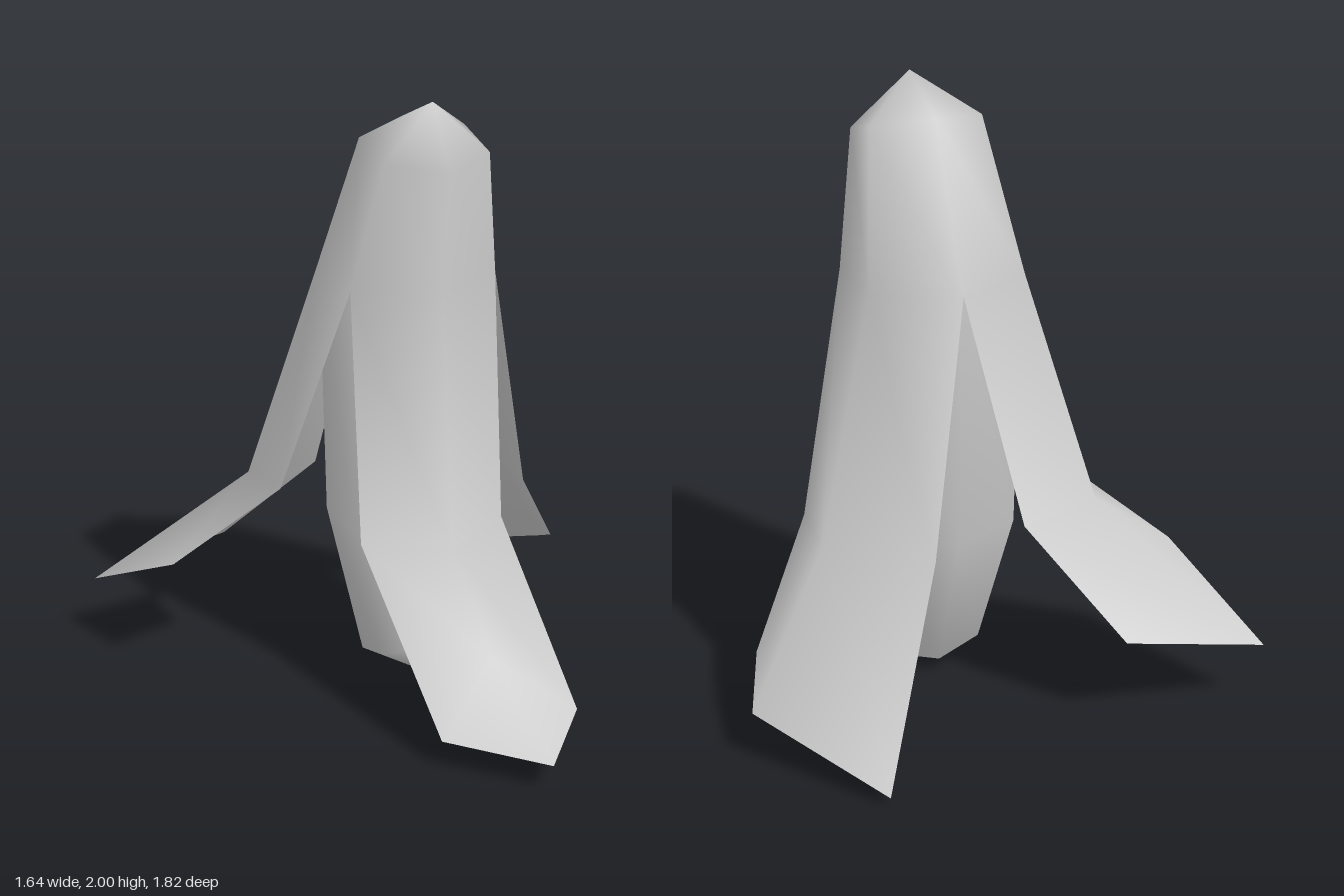
import * as THREE from 'three';

const material = new THREE.MeshStandardMaterial({ color: 0xcccccc, side: THREE.DoubleSide });
const CX = 0.08;

// Tilted six-sided ring; corner 0 faces the front, then counter-clockwise from above
function ring(y, tilt, z, rx, rz) {
  return Array.from({ length: 6 }, (_, i) => {
    const a = (i * Math.PI) / 3;
    return [CX + rx * Math.sin(a), y + tilt * Math.cos(a), z + rz * Math.cos(a)];
  });
}

// Collects shared points and faces into one smooth surface
function surface() {
  const points = [], faces = [];
  const add = (list) => list.map((p) => points.push(...p) / 3 - 1);
  // Strip between an upper and a lower row of point indices
  const strip = (u, l, closed = false) => {
    const n = closed ? u.length : u.length - 1;
    for (let i = 0; i < n; i++) {
      const j = (i + 1) % u.length;
      faces.push(u[i], l[i], l[j], u[i], l[j], u[j]);
    }
  };
  // Fan from a row to a single point above or below it
  const fan = (row, tip, above, closed = false) => {
    const n = closed ? row.length : row.length - 1;
    for (let i = 0; i < n; i++) {
      const j = (i + 1) % row.length;
      if (above) faces.push(tip, row[i], row[j]);
      else faces.push(row[i], tip, row[j]);
    }
  };
  const mesh = (name) => {
    const g = new THREE.BufferGeometry();
    g.setAttribute('position', new THREE.Float32BufferAttribute(points, 3));
    g.setIndex(faces);
    g.computeVertexNormals();
    const m = new THREE.Mesh(g, material);
    m.name = name;
    return m;
  };
  return { add, strip, fan, mesh };
}

// Three peeled flaps: ring corners they hang from, fold row, end row, optional point
const flaps = [
  { // front
    corners: [5, 0, 1],
    fold: [[-0.18, 0.55, 0.07], [CX, 0.55, 0.23], [0.34, 0.55, 0.07]],
    end: [[-0.16, 0.09, 0.62], [CX, 0.28, 0.49], [0.33, 0.09, 0.62]],
    tip: [CX, 0.09, 0.91],
  },
  { // left
    corners: [1, 2, 3],
    fold: [[0.5, 0.6, -0.07], [0.52, 0.6, -0.31], [0.19, 0.54, -0.44]],
    end: [[0.74, 0.26, -0.29], [0.82, 0.16, -0.49], [0.52, 0.03, -0.91]],
  },
  { // right
    corners: [3, 4, 5],
    fold: [[-0.1, 0.63, -0.47], [-0.37, 0.66, -0.42], [-0.36, 0.69, -0.17]],
    end: [[-0.34, 0.3, -0.74], [-0.82, 0.21, -0.76], [-0.69, 0.42, -0.32]],
  },
];

// Unpeeled upper skin with the hanging flaps
function makePeel() {
  const s = surface();
  const [top] = s.add([[CX, 2, 0.06]]);
  const shoulder = s.add(ring(1.85, -0.05, 0.005, 0.215, 0.175));
  const waist = s.add(ring(1.4, 0, -0.13, 0.3, 0.265));
  s.fan(shoulder, top, true, true);
  s.strip(shoulder, waist, true);
  for (const f of flaps) {
    const fold = s.add(f.fold), end = s.add(f.end);
    s.strip(f.corners.map((c) => waist[c]), fold);
    s.strip(fold, end);
    if (f.tip) s.fan(end, s.add([f.tip])[0], false);
  }
  return s.mesh('peel');
}

// Fruit showing between the flaps
function makeFruit() {
  const s = surface();
  const rows = [
    ring(1.4, 0, -0.13, 0.29, 0.255),
    ring(0.55, 0, -0.15, 0.27, 0.215),
    ring(0.09, 0.04, -0.045, 0.195, 0.145),
  ].map(s.add);
  s.strip(rows[0], rows[1], true);
  s.strip(rows[1], rows[2], true);
  s.fan(rows[2], s.add([[CX, 0, 0]])[0], false, true);
  return s.mesh('fruit');
}

export function createModel() {
  const group = new THREE.Group();
  group.name = 'peeledBanana';
  group.add(makePeel(), makeFruit());
  return group;
}
